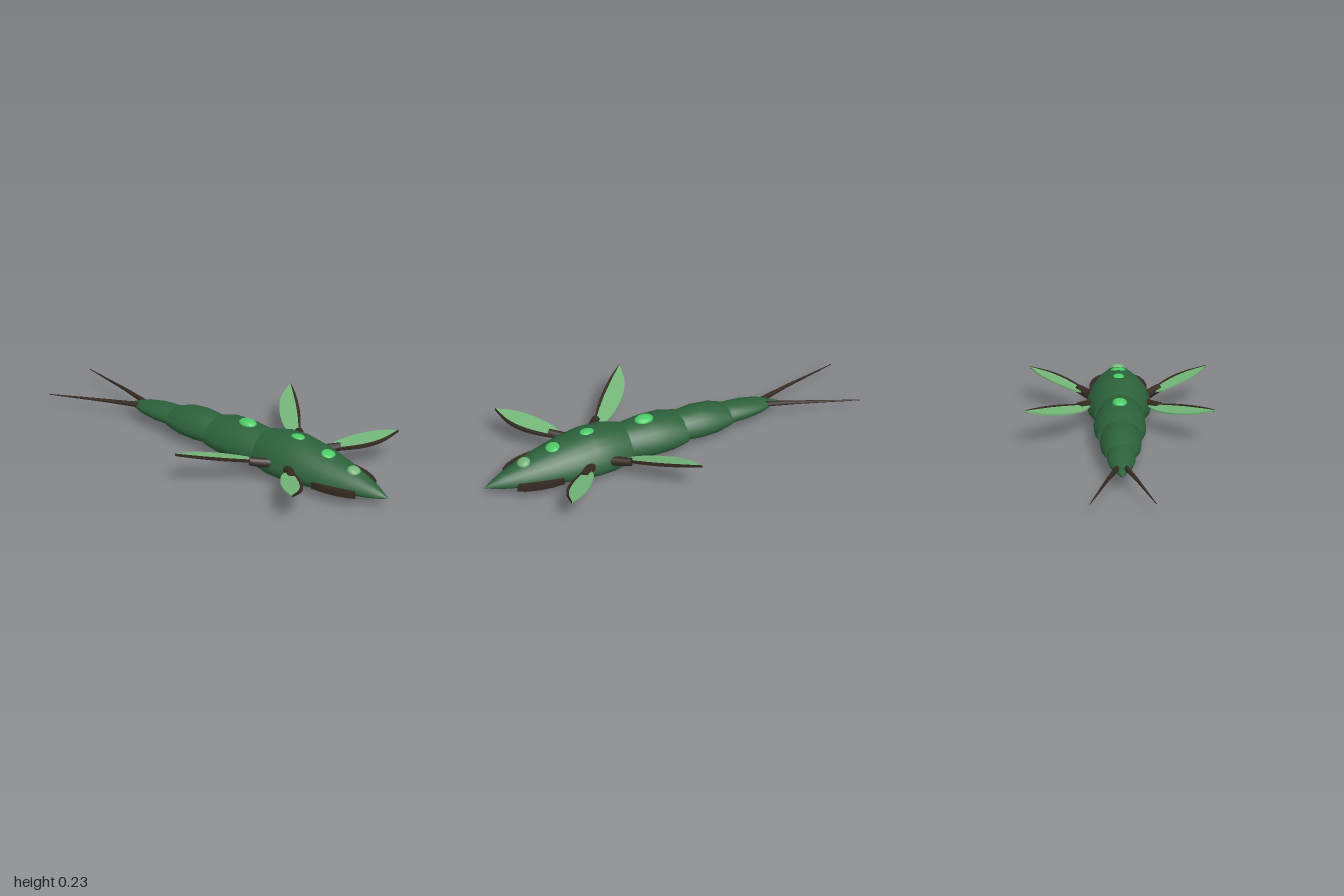
import * as THREE from 'three';

const mat = (name, color, side = THREE.FrontSide) => {
  const m = new THREE.MeshStandardMaterial({ color, side });
  m.name = name;
  return m;
};

// Lofted hull: rows run front to back as [z, halfWidth, top, widestHeight, bottom]
function loft(rows, sides = 24) {
  const last = rows[rows.length - 1];
  const all = [...rows, last, [last[0], 0, last[3], last[3], last[3]]];
  const pos = [], idx = [];
  all.forEach(([z, w, top, mid, bottom], i) => {
    for (let j = 0; j < sides; j++) {
      const a = (j / sides) * Math.PI * 2, s = Math.sin(a);
      const y = s > 0 ? (top - mid) * Math.pow(s, 1.25) : (mid - bottom) * s;
      pos.push(w * Math.cos(a), mid + y, z);
      if (i < all.length - 1 && i !== rows.length - 1) {
        const p = i * sides + j, q = i * sides + (j + 1) % sides;
        idx.push(p, p + sides, q, q, p + sides, q + sides);
      }
    }
  });
  const g = new THREE.BufferGeometry();
  g.setAttribute('position', new THREE.Float32BufferAttribute(pos, 3));
  g.setIndex(idx);
  // the rear cap has its own ring, so its edge stays sharp
  const capStart = rows.length * sides, cap = [];
  for (let j = 0; j < sides; j++) {
    cap.push(capStart + j, capStart + sides + j, capStart + (j + 1) % sides);
  }
  g.setIndex([...idx, ...cap]);
  g.computeVertexNormals();
  return g;
}

// Tapered round bar between two points
function rod(from, to, r0, r1, sides = 10) {
  const a = new THREE.Vector3(...from), b = new THREE.Vector3(...to);
  const dir = b.clone().sub(a);
  const g = new THREE.CylinderGeometry(r1, r0, dir.length(), sides);
  g.applyQuaternion(new THREE.Quaternion().setFromUnitVectors(new THREE.Vector3(0, 1, 0), dir.normalize()));
  const c = a.add(b).multiplyScalar(0.5);
  return g.translate(c.x, c.y, c.z);
}

// Horizontal plate from an (x, z) outline, raised outward by a slope
function plate(points, thickness, baseY, slope, rootX) {
  const shape = new THREE.Shape(points);
  const g = new THREE.ExtrudeGeometry(shape, { depth: thickness, bevelEnabled: false });
  g.rotateX(Math.PI / 2);
  const p = g.attributes.position;
  for (let i = 0; i < p.count; i++) {
    p.setY(i, p.getY(i) + thickness / 2 + baseY + slope * (Math.abs(p.getX(i)) - rootX));
  }
  g.computeVertexNormals();
  return g;
}

export function createModel() {
  const model = new THREE.Group();
  model.name = 'finnedCreature';
  const body = mat('body green', 0x2d623c);
  const fin = mat('fin green', 0x73b578);
  const glow = mat('spot green', 0x4ccb66);
  const dark = mat('dark brown', 0x352a22);
  const add = (name, geometry, material) => {
    const m = new THREE.Mesh(geometry, material);
    m.name = name;
    model.add(m);
    return m;
  };

  // Overlapping body segments, head first
  add('head', loft([
    [1.0, 0, 0.06, 0.06, 0.06], [0.95, 0.027, 0.088, 0.06, 0.05], [0.9, 0.05, 0.112, 0.065, 0.042],
    [0.8, 0.086, 0.146, 0.07, 0.03], [0.7, 0.115, 0.175, 0.075, 0.02], [0.55, 0.148, 0.212, 0.083, 0.008],
    [0.43, 0.16, 0.231, 0.085, 0.002], [0.33, 0.155, 0.225, 0.085, 0.004], [0.23, 0.125, 0.2, 0.085, 0.016],
  ]), body);
  add('frontSegment', loft([
    [0.28, 0.1, 0.18, 0.09, 0.03], [0.23, 0.114, 0.195, 0.09, 0.018], [0.1, 0.13, 0.203, 0.09, 0.009],
    [0, 0.129, 0.197, 0.09, 0.012], [-0.08, 0.114, 0.172, 0.09, 0.028],
  ]), body);
  add('middleSegment', loft([
    [-0.04, 0.085, 0.165, 0.09, 0.04], [-0.08, 0.094, 0.177, 0.09, 0.032], [-0.17, 0.105, 0.183, 0.09, 0.025],
    [-0.26, 0.1, 0.172, 0.09, 0.027], [-0.34, 0.08, 0.14, 0.09, 0.043],
  ]), body);
  add('rearSegment', loft([
    [-0.3, 0.064, 0.138, 0.09, 0.055], [-0.35, 0.072, 0.144, 0.09, 0.048], [-0.43, 0.07, 0.137, 0.09, 0.045],
    [-0.51, 0.057, 0.12, 0.088, 0.052], [-0.565, 0.035, 0.102, 0.085, 0.062],
  ]), body);
  add('tailTip', loft([
    [-0.54, 0.028, 0.1, 0.08, 0.06], [-0.58, 0.025, 0.095, 0.078, 0.062], [-0.63, 0.001, 0.074, 0.073, 0.07],
  ]), body);

  // Domed spots along the back: [z, y, rx, ry, rz, tilt, material]
  [
    [0.78, 0.147, 0.036, 0.02, 0.035, 0.28, fin],
    [0.62, 0.19, 0.038, 0.013, 0.037, 0.22, glow],
    [0.43, 0.224, 0.028, 0.011, 0.038, 0, glow],
    [0.115, 0.198, 0.037, 0.021, 0.05, 0, glow],
  ].forEach(([z, y, rx, ry, rz, tilt, m]) => {
    const spot = add('backSpot', new THREE.SphereGeometry(1, 14, 10), m);
    spot.scale.set(rx, ry, rz);
    spot.position.set(0, y, z);
    spot.rotation.x = tilt;
  });

  // Fins: forward and rearward edges run from root to tip in (x, z)
  const fins = [
    {
      name: 'front', root: [0.15, 0.5], tip: [0.435, 0.725], base: 0.115, slope: 0.2,
      socket: [[0.125, 0.108, 0.46], [0.2, 0.122, 0.545]],
      fore: [[0.18, 0.56], [0.25, 0.65], [0.33, 0.705]],
      aft: [[0.22, 0.5], [0.32, 0.565], [0.39, 0.64]],
    },
    {
      name: 'rear', root: [0.14, 0.32], tip: [0.47, 0.02], base: 0.116, slope: 0.235,
      socket: [[0.13, 0.108, 0.36], [0.2, 0.122, 0.28]],
      fore: [[0.215, 0.28], [0.32, 0.195], [0.41, 0.1]],
      aft: [[0.175, 0.22], [0.26, 0.115], [0.36, 0.045]],
    },
  ];
  for (const side of [1, -1]) {
    const label = side > 0 ? 'left' : 'right';
    const v = ([x, z]) => new THREE.Vector2(x * side, z);
    for (const f of fins) {
      const curve = pts => new THREE.SplineCurve([f.root, ...pts, f.tip].map(v)).getPoints(14);
      const fore = curve(f.fore), aft = curve(f.aft);
      const inner = fore.map((p, i) => p.clone().lerp(aft[i], 0.14));
      const outline = (a, b) => [...a, ...b.slice(1, -1).reverse()];
      add(label + f.name + 'FinBlade', plate(outline(inner, aft), 0.008, f.base, f.slope, 0.16), fin);
      add(label + f.name + 'FinEdge', plate(outline(fore, inner), 0.014, f.base, f.slope, 0.16), dark);
      const [a, b] = f.socket.map(([x, y, z]) => [x * side, y, z]);
      add(label + f.name + 'FinSocket', rod(a, b, 0.025, 0.021), dark);
    }

    // Curved dark eye band along the side of the head
    const eye = [[0.07, 0.84], [0.085, 0.855], [0.108, 0.82], [0.13, 0.76], [0.142, 0.69], [0.142, 0.62], [0.1, 0.62]];
    add(label + 'EyeBand', plate(eye.map(v), 0.034, 0.069, 0.12, 0.11), dark);

    // Long tail filament
    add(label + 'TailFilament', rod([0.022 * side, 0.092, -0.55], [0.072 * side, 0.086, -0.7], 0.014, 0.009, 8), dark);
    add(label + 'TailFilamentEnd', rod([0.072 * side, 0.086, -0.7], [0.165 * side, 0.064, -1], 0.009, 0.002, 8), dark);
  }
  return model;
}
